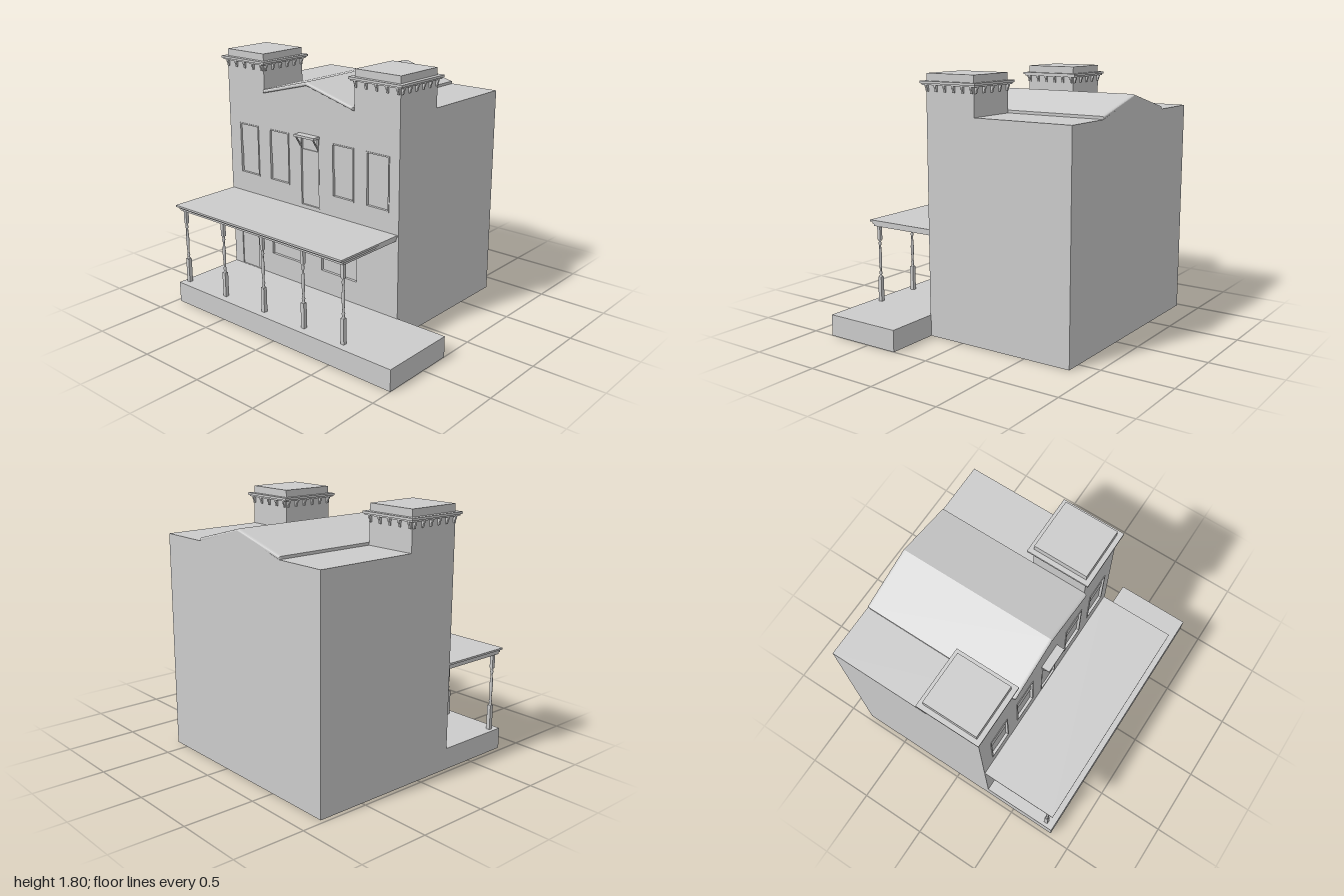
import * as THREE from 'three';

const L = -0.97, R = 0.615, BACK = -0.84, FRONT = 0.275, EAVE = 1.53;
const MID = -0.18, GL = -0.6, GR = 0.24;

export function createModel() {
  const model = new THREE.Group();
  const mat = new THREE.MeshStandardMaterial({ color: 0xcccccc });

  const add = (name, geometry, parent = model) => {
    const m = new THREE.Mesh(geometry, mat);
    m.name = name;
    parent.add(m);
    return m;
  };
  const group = (name, parent = model) => {
    const g = new THREE.Group();
    g.name = name;
    parent.add(g);
    return g;
  };
  // box given by its limits on each axis
  const box = (name, x0, x1, y0, y1, z0, z1, parent) => {
    const m = add(name, new THREE.BoxGeometry(x1 - x0, y1 - y0, z1 - z0), parent);
    m.position.set((x0 + x1) / 2, (y0 + y1) / 2, (z0 + z1) / 2);
    return m;
  };
  const polygon = (pts) => new THREE.Shape(pts.map(([x, y]) => new THREE.Vector2(x, y)));
  const rect = (x0, x1, y0, y1, C = THREE.Path) =>
    new C([[x0, y0], [x1, y0], [x1, y1], [x0, y1]].map(([x, y]) => new THREE.Vector2(x, y)));
  const extrude = (shape, z0, z1) =>
    new THREE.ExtrudeGeometry(shape, { depth: z1 - z0, bevelEnabled: false }).translate(0, 0, z0);

  // openings: x0, x1, y0, y1
  const sashWindows = [-0.865, -0.56, 0.04, 0.34].map((x) => [x, x + 0.195, 0.89, 1.27]);
  const shopWindows = [[-0.56, -0.24, 0.315, 0.555], [-0.07, 0.255, 0.315, 0.555]];
  const entrance = [-0.885, -0.71, 0.152, 0.555];
  const upperDoor = [-0.255, -0.08, 0.77, 1.275];

  // main block, and a facade layer with recessed openings
  const outline = () => polygon([[L, 0], [R, 0], [R, EAVE], [GR, EAVE], [MID, 1.645], [GL, EAVE], [L, EAVE]]);
  const WALL = FRONT - 0.02;
  add('mainBlock', extrude(outline(), BACK, WALL));
  const facade = outline();
  for (const o of [...sashWindows, ...shopWindows, entrance, upperDoor]) facade.holes.push(rect(...o));
  add('facade', extrude(facade, WALL, FRONT));

  // gable roof cover with softened edges
  const cover = polygon([[GL + 0.01, 1.535], [MID, 1.643], [GR - 0.01, 1.535],
    [GR - 0.01, 1.542], [MID, 1.65], [GL + 0.01, 1.542]]);
  add('gableRoof', new THREE.ExtrudeGeometry(cover, {
    depth: FRONT + 0.02 - BACK - 0.04, bevelThickness: 0.02, bevelSize: 0.01, bevelSegments: 4,
  }).translate(0, 0, BACK + 0.02));

  // picture-frame moulding
  const frame = (name, [x0, x1, y0, y1], w, z0, z1, parent) => {
    const s = rect(x0, x1, y0, y1, THREE.Shape);
    s.holes.push(rect(x0 + w, x1 - w, y0 + w, y1 - w));
    add(name, extrude(s, z0, z1), parent);
  };
  for (const o of sashWindows) {
    const [x0, x1, y0, y1] = o;
    const g = group('sashWindow');
    frame('windowFrame', o, 0.009, WALL, FRONT + 0.005, g);
    box('upperSash', x0, x1, 1.09, y1, WALL, WALL + 0.01, g);
    box('lowerSash', x0, x1, y0, 1.09, WALL, WALL + 0.005, g);
  }
  box('entranceDoor', entrance[0], entrance[1], entrance[2], entrance[3], WALL, FRONT - 0.008);
  box('upperDoorPanel', upperDoor[0], upperDoor[1], upperDoor[2], 1.178, WALL, WALL + 0.008);
  frame('upperDoorFrame', upperDoor, 0.006, WALL, FRONT + 0.002);

  // small hood over the upper door, carried by triangular brackets
  const hood = group('doorHood');
  box('hoodSlab', -0.262, -0.074, 1.278, 1.294, FRONT, 0.335, hood);
  for (const x of [-0.248, -0.088]) {
    box('wallStrip', x - 0.006, x + 0.006, 1.19, 1.28, FRONT, FRONT + 0.007, hood);
    const brace = add('brace', new THREE.BoxGeometry(0.01, 0.095, 0.008), hood);
    brace.position.set(x, 1.24, 0.302);
    brace.rotation.x = Math.atan2(0.05, 0.078);
  }

  // corner towers: shaft, stepped cornice, bracket rows, cap
  const bracketShape = polygon([[0, 1.68], [0.01, 1.68], [0.013, 1.7], [0.02, 1.712], [0.02, 1.728], [0, 1.728]]);
  const bracketGeo = extrude(bracketShape, -0.007, 0.007);
  const tower = (name, x0, x1) => {
    const g = group(name);
    const z0 = -0.115, z1 = FRONT, cx = (x0 + x1) / 2, cz = (z0 + z1) / 2;
    const tier = (n, o, y0, y1) => box(n, x0 - o, x1 + o, y0, y1, z0 - o, z1 + o, g);
    tier('towerShaft', 0, EAVE - 0.03, 1.73);
    tier('lowerCornice', 0.022, 1.724, 1.736);
    tier('upperCornice', 0.031, 1.734, 1.75);
    tier('towerCap', -0.002, 1.75, 1.8);
    for (let side = 0; side < 4; side++) {
      const along = side % 2 ? x1 - x0 : z1 - z0;
      const out = (side % 2 ? z1 - z0 : x1 - x0) / 2;
      const n = side % 2 ? 5 : 6;
      const row = group('bracketRow', g);
      row.position.set(cx, 0, cz);
      row.rotation.y = side * Math.PI / 2;
      for (let i = 0; i < n; i++) {
        const b = add('bracket', bracketGeo, row);
        b.position.set(out, 0, (i / (n - 1) - 0.5) * (along - 0.028));
      }
    }
  };
  tower('rightTower', L, GL);
  tower('leftTower', GR, R);

  // boardwalk and porch roof
  box('boardwalk', L, 1, 0, 0.15, FRONT - 0.005, 0.835);
  const porch = group('porch');
  box('porchBeam', -0.955, 0.595, 0.705, 0.722, FRONT, 0.8, porch);
  box('porchFascia', -0.96, 0.6, 0.72, 0.737, FRONT, 0.808, porch);
  box('porchRoof', -0.968, 0.605, 0.735, 0.748, FRONT, 0.828, porch);

  // posts: square ends with a turned middle
  const turned = new THREE.LatheGeometry([
    [0.012, 0.33], [0.008, 0.345], [0.012, 0.36], [0.007, 0.375], [0.011, 0.44], [0.012, 0.48],
    [0.008, 0.54], [0.007, 0.56], [0.012, 0.575], [0.008, 0.59], [0.012, 0.605],
  ].map(([r, y]) => new THREE.Vector2(r, y)), 12);
  for (const x of [-0.93, -0.535, -0.147, 0.225, 0.57]) {
    const post = group('porchPost', porch);
    post.position.set(x, 0, 0.77);
    box('postBase', -0.014, 0.014, 0.15, 0.33, -0.014, 0.014, post);
    box('postTop', -0.012, 0.012, 0.605, 0.706, -0.012, 0.012, post);
    add('turnedShaft', turned, post);
  }
  return model;
}
